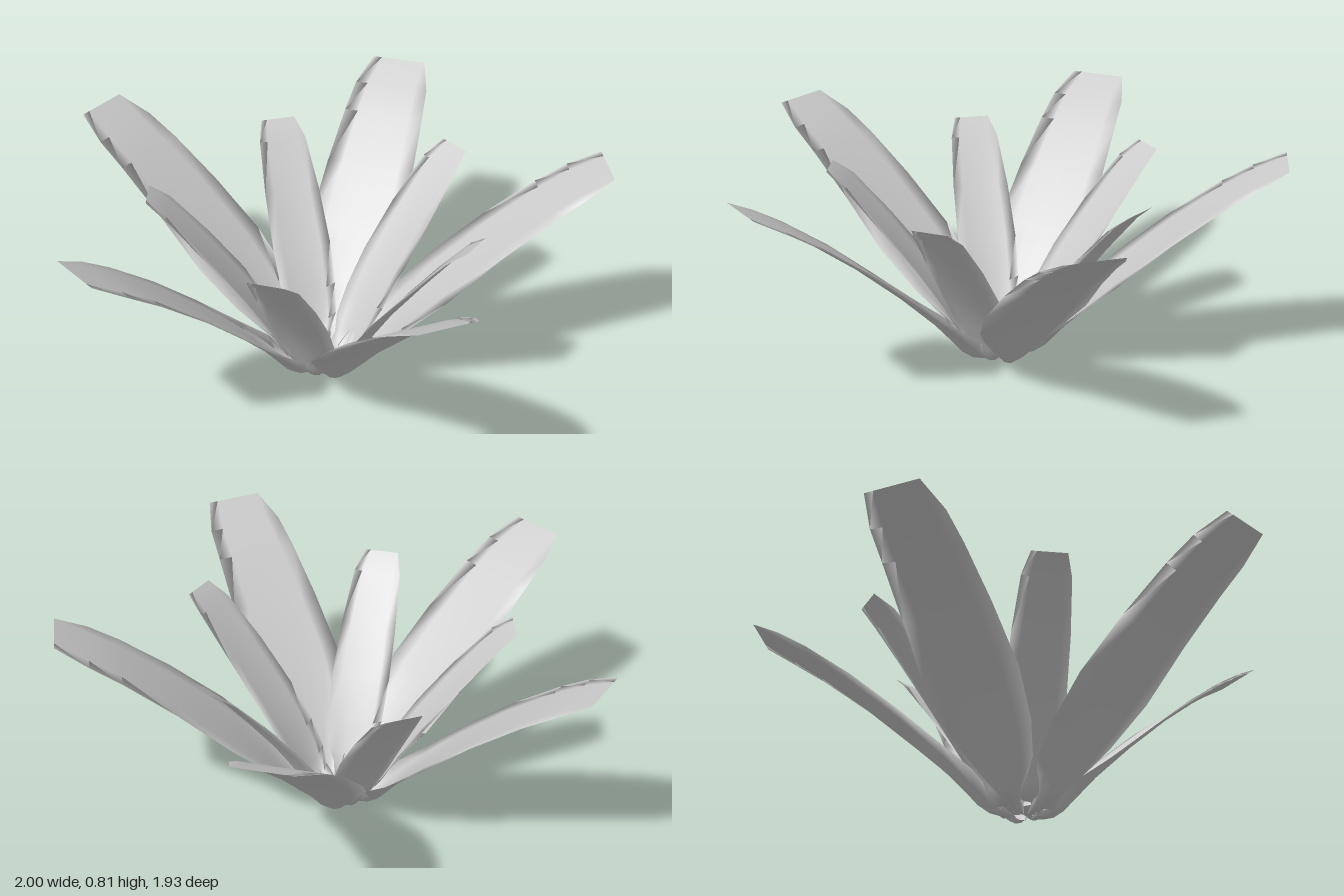
import * as THREE from 'three';

// Petal stations from base to tip: [radius, keel height, half width, edge lift, half thickness]
const OUTER = [
  [0.03, 0.002, 0.015, 0, 0], [0.08, 0.012, 0.035, 0.03, 0.004], [0.125, 0.03, 0.07, 0.07, 0.006],
  [0.17, 0.066, 0.115, 0.085, 0.007], [0.28, 0.2, 0.16, 0.04, 0.008], [0.43, 0.352, 0.185, 0.02, 0.009],
  [0.62, 0.523, 0.172, 0.014, 0.009], [0.8, 0.665, 0.157, 0.008, 0.008], [0.91, 0.74, 0.145, 0.004, 0.006],
  [1.025, 0.81, 0.105, 0, 0],
];
const INNER = [
  [0.025, 0.055, 0.03, 0, 0], [0.06, 0.04, 0.045, 0, 0.003], [0.105, 0.03, 0.06, 0.05, 0.005],
  [0.14, 0.085, 0.092, 0.05, 0.006], [0.2, 0.195, 0.106, 0.035, 0.007], [0.29, 0.335, 0.112, 0.025, 0.007],
  [0.42, 0.507, 0.106, 0.018, 0.007], [0.555, 0.675, 0.09, 0.006, 0.005], [0.625, 0.738, 0.065, 0, 0],
];

// Thin petal running along +z: a troughed leaf with a lens-shaped section
function petalGeometry(stations, columns = 6) {
  const positions = [], indices = [];
  const loop = columns * 2;
  stations.forEach(([r, y, w, lift, t], i) => {
    for (let j = 0; j < loop; j++) {
      // Top side runs from -1 to 1, underside runs back again
      const top = j <= columns;
      const u = ((top ? j : loop - j) / columns) * 2 - 1;
      const bulge = (top ? t : -t) * (1 - u * u);
      positions.push(u * w, y + lift * u * u + bulge, r);
      if (i) {
        const a = (i - 1) * loop + j, b = (i - 1) * loop + ((j + 1) % loop);
        indices.push(a, a + loop, b, b, a + loop, b + loop);
      }
    }
  });
  const geometry = new THREE.BufferGeometry();
  geometry.setAttribute('position', new THREE.Float32BufferAttribute(positions, 3));
  geometry.setIndex(indices);
  geometry.computeVertexNormals();
  return geometry;
}

export function createModel() {
  const model = new THREE.Group();
  model.name = 'flower';
  const material = new THREE.MeshStandardMaterial({ color: 0xcccccc });

  // Ring of petals; angles in degrees measured from +z towards +x
  function ring(name, stations, angles) {
    const group = new THREE.Group();
    group.name = name + 's';
    const geometry = petalGeometry(stations);
    angles.forEach((angle) => {
      const petal = new THREE.Mesh(geometry, material);
      petal.name = name;
      petal.rotation.y = THREE.MathUtils.degToRad(angle);
      group.add(petal);
    });
    group.position.set(0.008, 0, 0.056);
    model.add(group);
  }

  ring('outerPetal', OUTER, [180, 112.5, 39.5, -34, -107]);
  ring('innerPetal', INNER, [0, 74, 145.5, -146.5, -73.5]);
  return model;
}
